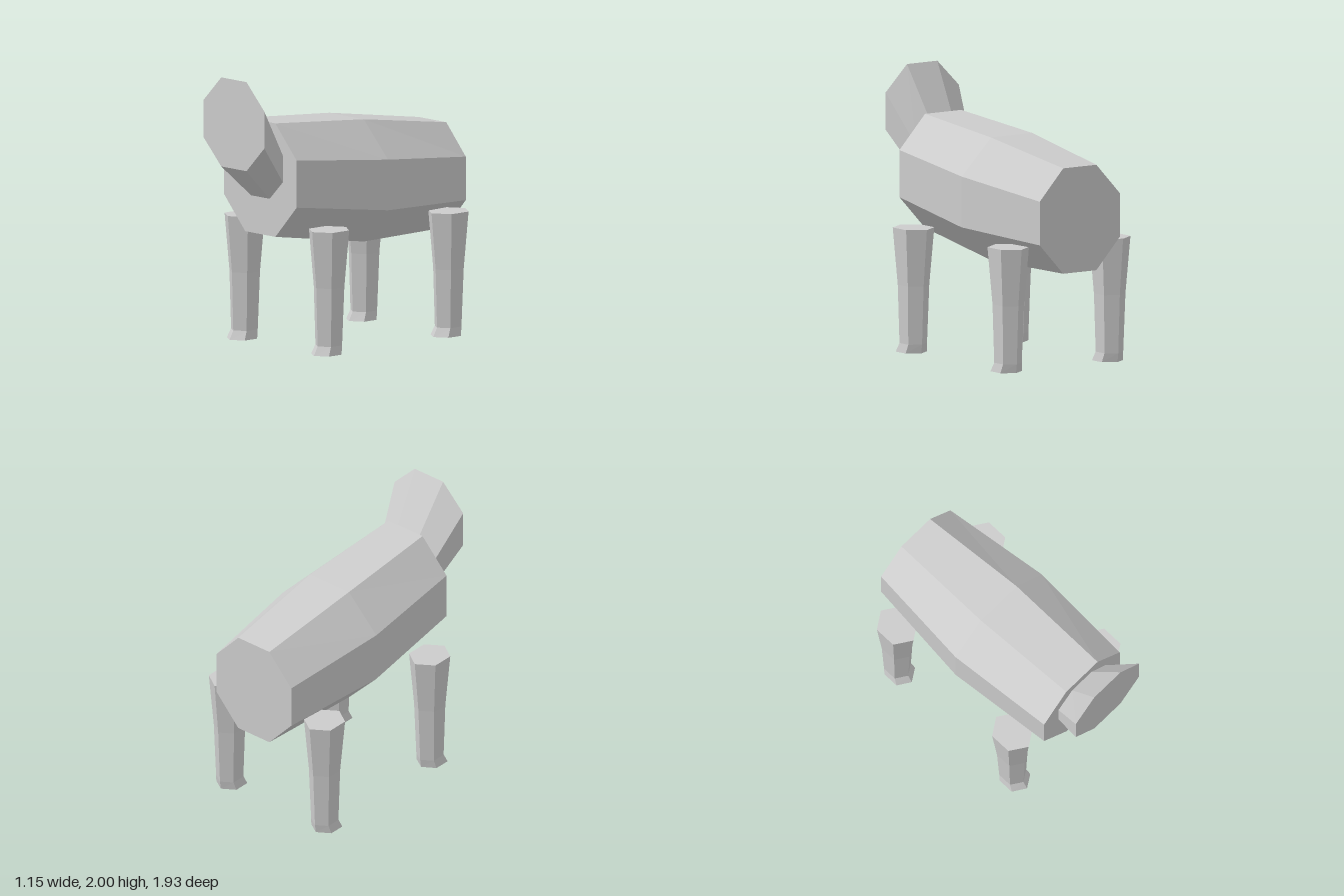
import * as THREE from 'three';

// Skin over rings of points, closed by a flat cap at each end.
// Each ring runs counter-clockwise seen from the first ring's outer side.
function loft(rings) {
  const pos = [];
  const tri = (...pts) => pts.forEach((p) => pos.push(...p));
  const n = rings[0].length;
  for (let i = 0; i < rings.length - 1; i++) {
    const a = rings[i], b = rings[i + 1];
    for (let j = 0; j < n; j++) {
      const k = (j + 1) % n;
      tri(a[j], b[j], a[k]);
      tri(b[j], b[k], a[k]);
    }
  }
  const first = rings[0], last = rings[rings.length - 1];
  for (let j = 1; j < n - 1; j++) {
    tri(first[0], first[j], first[j + 1]);
    tri(last[0], last[j + 1], last[j]);
  }
  const geo = new THREE.BufferGeometry();
  geo.setAttribute('position', new THREE.Float32BufferAttribute(pos, 3));
  geo.computeVertexNormals();
  return geo;
}

// Upright octagon with flat top and sides; hw and hh are half width and height
function octagon([z, y, hw, hh]) {
  const s = 1 / Math.cos(Math.PI / 8);
  return Array.from({ length: 8 }, (_, i) => {
    const a = ((i + 0.5) * Math.PI) / 4;
    return [hw * s * Math.cos(a), y + hh * s * Math.sin(a), z];
  });
}

// Level hexagon pointing to front and back
function hexagon([y, z, hw, hd]) {
  const s = 1 / Math.cos(Math.PI / 6);
  return Array.from({ length: 6 }, (_, i) => {
    const a = ((i + 0.5) * Math.PI) / 3;
    return [hw * s * Math.cos(a), y, z - hd * Math.sin(a)];
  });
}

export function createModel() {
  const group = new THREE.Group();
  const grey = new THREE.MeshStandardMaterial({ color: 0xcccccc, flatShading: true });
  grey.name = 'grey';

  const add = (name, geo, x = 0, z = 0) => {
    const mesh = new THREE.Mesh(geo, grey);
    mesh.name = name;
    mesh.position.set(x, 0, z);
    group.add(mesh);
  };

  // Body sections: z, centre y, half width, half height
  add('body', loft([
    [0.708, 1.258, 0.388, 0.414],
    [-0.13, 1.16, 0.443, 0.446],
    [-0.965, 1.098, 0.355, 0.383],
  ].map(octagon)));

  // Flared head, widening from the chest to a flat face
  add('head', loft([
    [0.965, 1.675, 0.325, 0.325],
    [0.708, 1.35, 0.24, 0.236],
  ].map(octagon)));

  // Leg sections: y, centre z, half width, half depth
  const leg = loft([
    [0.905, 0, 0.125, 0.164],
    [0.49, 0, 0.095, 0.124],
    [0.065, 0.003, 0.083, 0.108],
    [0, 0.026, 0.095, 0.121],
  ].map(hexagon));
  for (const [side, x] of [['Left', 0.45], ['Right', -0.45]]) {
    add('front' + side + 'Leg', leg, x, 0.45);
    add('back' + side + 'Leg', leg, x, -0.71);
  }
  return group;
}
